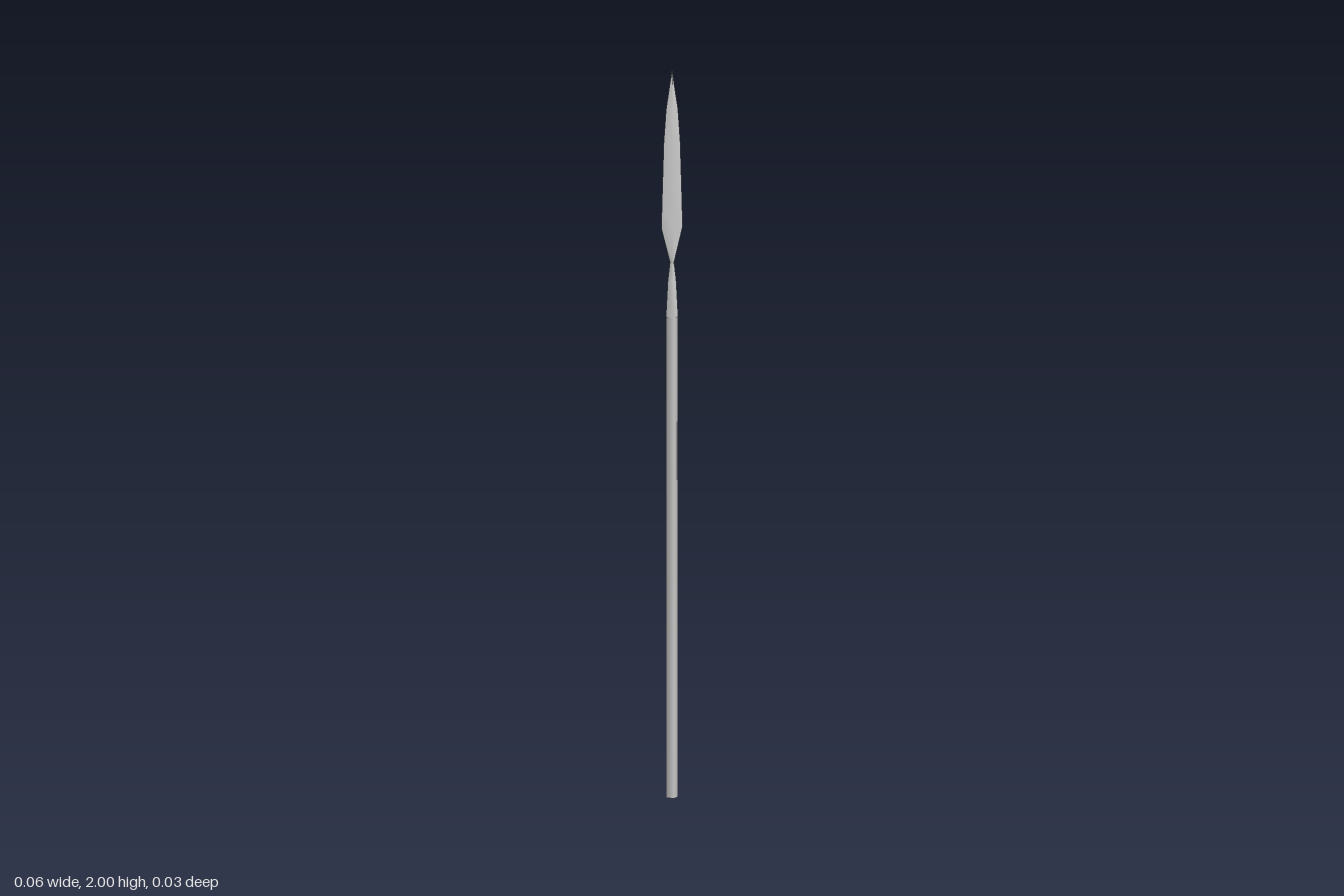
import * as THREE from 'three';

// Front half of a diamond loft, with a soft middle ridge and open side edges.
// Sections: [y, half width x, half depth z]
function halfLoft(sections) {
  const pos = [], index = [];
  for (const [y, rx, rz] of sections) pos.push(-rx, y, 0, 0, y, rz, rx, y, 0);
  for (let s = 0; s < sections.length - 1; s++) {
    for (let i = 0; i < 2; i++) {
      const a = s * 3 + i, b = a + 1, c = a + 3, d = a + 4;
      index.push(a, b, c, b, d, c);
    }
  }
  const geo = new THREE.BufferGeometry();
  geo.setAttribute('position', new THREE.Float32BufferAttribute(pos, 3));
  geo.setIndex(index);
  geo.computeVertexNormals();
  return geo;
}

export function createModel() {
  const group = new THREE.Group();
  group.name = 'spear';
  const grey = new THREE.MeshStandardMaterial({ color: 0xcccccc });
  grey.name = 'light grey';

  // Straight four-sided pole with its corners on the axes
  const pole = new THREE.CylinderGeometry(1, 1, 1.32, 4);
  pole.scale(0.0175, 1, 0.0155);
  const shaft = new THREE.Mesh(pole, grey);
  shaft.name = 'shaft';
  shaft.position.y = 0.66;
  group.add(shaft);

  // Front and back halves meet in sharp side edges
  const addHalves = (name, sections) => {
    const part = new THREE.Group();
    part.name = name;
    const geo = halfLoft(sections);
    for (const [side, turn] of [['Front', 0], ['Back', Math.PI]]) {
      const half = new THREE.Mesh(geo, grey);
      half.name = name + side;
      half.rotation.y = turn;
      part.add(half);
    }
    group.add(part);
  };

  // Collar that narrows to the neck
  addHalves('socket', [
    [1.32, 0.0175, 0.0155],
    [1.42, 0.012, 0.011],
    [1.47, 0.006, 0.0095],
  ]);

  // Leaf-shaped blade with a central ridge
  addHalves('blade', [
    [1.47, 0.006, 0.0095],
    [1.565, 0.03, 0.009],
    [1.62, 0.029, 0.009],
    [1.8, 0.0235, 0.009],
    [1.89, 0.017, 0.0085],
    [2, 0, 0],
  ]);

  return group;
}
